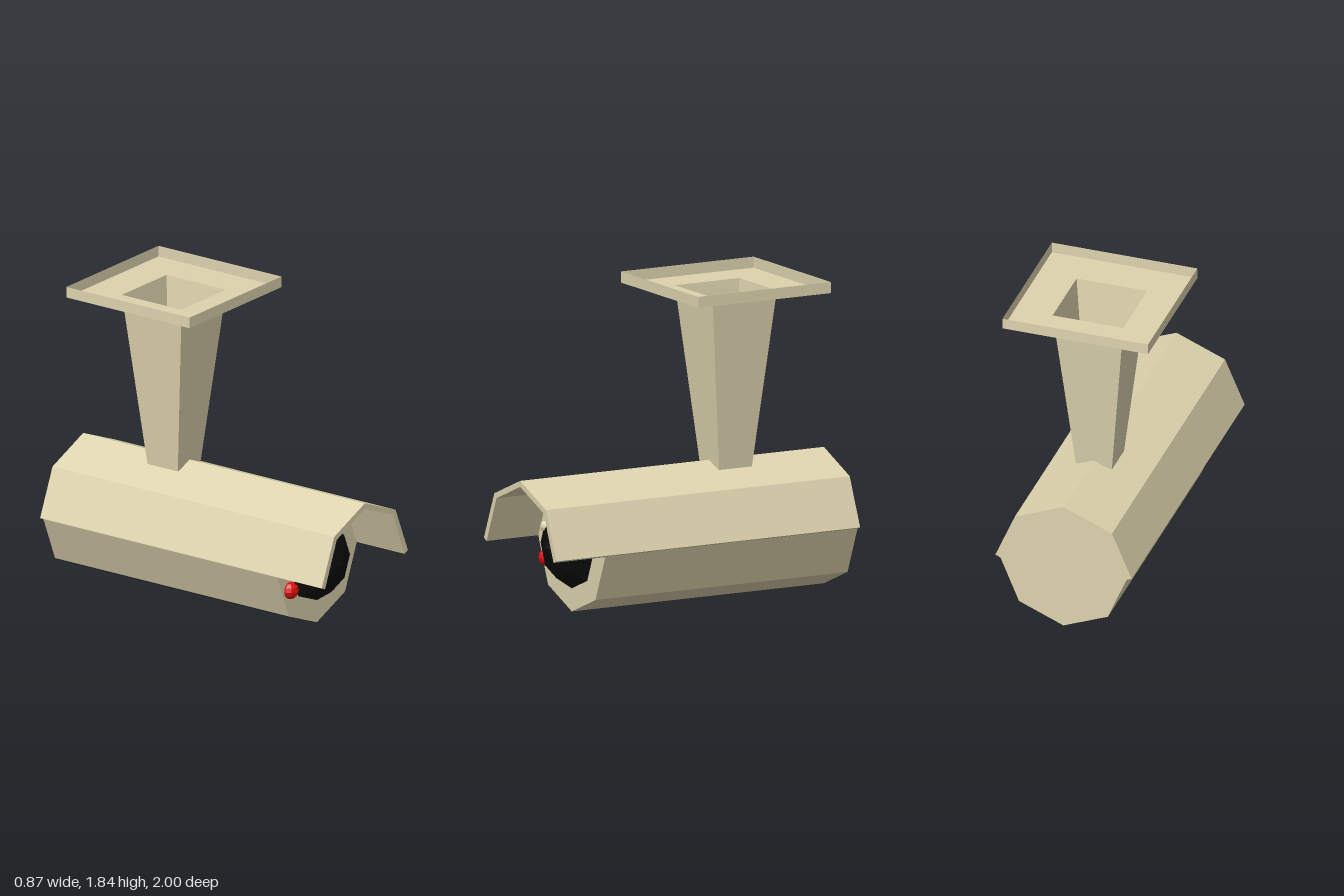
import * as THREE from 'three';

const cream = new THREE.MeshStandardMaterial({ color: 0xddd3ae, side: THREE.DoubleSide });
cream.name = 'cream casing';
const black = new THREE.MeshStandardMaterial({ color: 0x0b0b0b });
black.name = 'black glass';
const red = new THREE.MeshStandardMaterial({ color: 0xd80c0c });
red.name = 'red light';
const pale = new THREE.MeshStandardMaterial({ color: 0xf2ebcc });
pale.name = 'pale glint';

const AXIS_Y = 0.378; // height of the camera's long axis
const MOUNT_Z = -0.355; // centre of the ceiling mount

// Faceted mesh with one normal per face
function part(name, geometry, material, x = 0, y = 0, z = 0) {
  const flat = geometry.index ? geometry.toNonIndexed() : geometry;
  flat.computeVertexNormals();
  const mesh = new THREE.Mesh(flat, material);
  mesh.name = name;
  mesh.position.set(x, y, z);
  return mesh;
}

// Open four-sided tube, given half widths at top and bottom
function squareTube(top, bottom, height) {
  const geometry = new THREE.CylinderGeometry(top * Math.SQRT2, bottom * Math.SQRT2, height, 4, 1, true);
  return geometry.rotateY(Math.PI / 4);
}

function squarePath(path, half) {
  path.moveTo(-half, -half);
  path.lineTo(half, -half);
  path.lineTo(half, half);
  path.lineTo(-half, half);
  path.closePath();
  return path;
}

export function createModel() {
  const model = new THREE.Group();
  model.name = 'securityCamera';

  // Octagonal body
  const body = new THREE.CylinderGeometry(0.378, 0.378, 1.66, 8).rotateX(Math.PI / 2);
  model.add(part('body', body, cream, 0, AXIS_Y, -0.17));

  // Rain hood: half an octagonal ring over the full length
  const outer = [], inner = [];
  for (let i = 0; i <= 4; i++) {
    const a = (i * Math.PI) / 4;
    const lift = i % 4 === 0 ? 0.014 : 0;
    outer.push(new THREE.Vector2(Math.cos(a) * 0.412 * (1 - lift / 2), Math.sin(a) * 0.412 + lift));
    inner.push(new THREE.Vector2(Math.cos(a) * 0.377, Math.sin(a) * 0.377));
  }
  const hoodShape = new THREE.Shape([...outer, ...inner.reverse()]);
  const hood = new THREE.ExtrudeGeometry(hoodShape, { depth: 2, bevelEnabled: false });
  model.add(part('hood', hood, cream, 0, AXIS_Y, -1));

  // Domed lens
  const profile = [[0.247, 0], [0.177, 0.102], [0, 0.18]].map(([r, h]) => new THREE.Vector2(r, h));
  const lens = new THREE.LatheGeometry(profile, 8).rotateX(Math.PI / 2);
  model.add(part('lens', lens, black, 0, AXIS_Y + 0.003, 0.66));

  // Glint on the lens
  const glint = new THREE.SphereGeometry(0.04, 10, 8).scale(1, 0.75, 0.5).rotateZ(0.3);
  model.add(part('lensGlint', glint, pale, -0.12, 0.485, 0.768));

  // Indicator light
  const light = new THREE.SphereGeometry(0.05, 8, 6);
  model.add(part('indicatorLight', light, red, -0.265, 0.27, 0.67));

  // Hollow tapered stem
  model.add(part('stem', squareTube(0.212, 0.108, 1.027), cream, 0, 1.2615, MOUNT_Z));

  // Ceiling plate: thin floor with a square hole and an upright rim
  const floorShape = squarePath(new THREE.Shape(), 0.437);
  floorShape.holes.push(squarePath(new THREE.Path(), 0.212));
  const floor = new THREE.ShapeGeometry(floorShape).rotateX(-Math.PI / 2);
  model.add(part('plateFloor', floor, cream, 0, 1.775, MOUNT_Z));
  model.add(part('plateRim', squareTube(0.437, 0.437, 0.064), cream, 0, 1.807, MOUNT_Z));

  return model;
}
